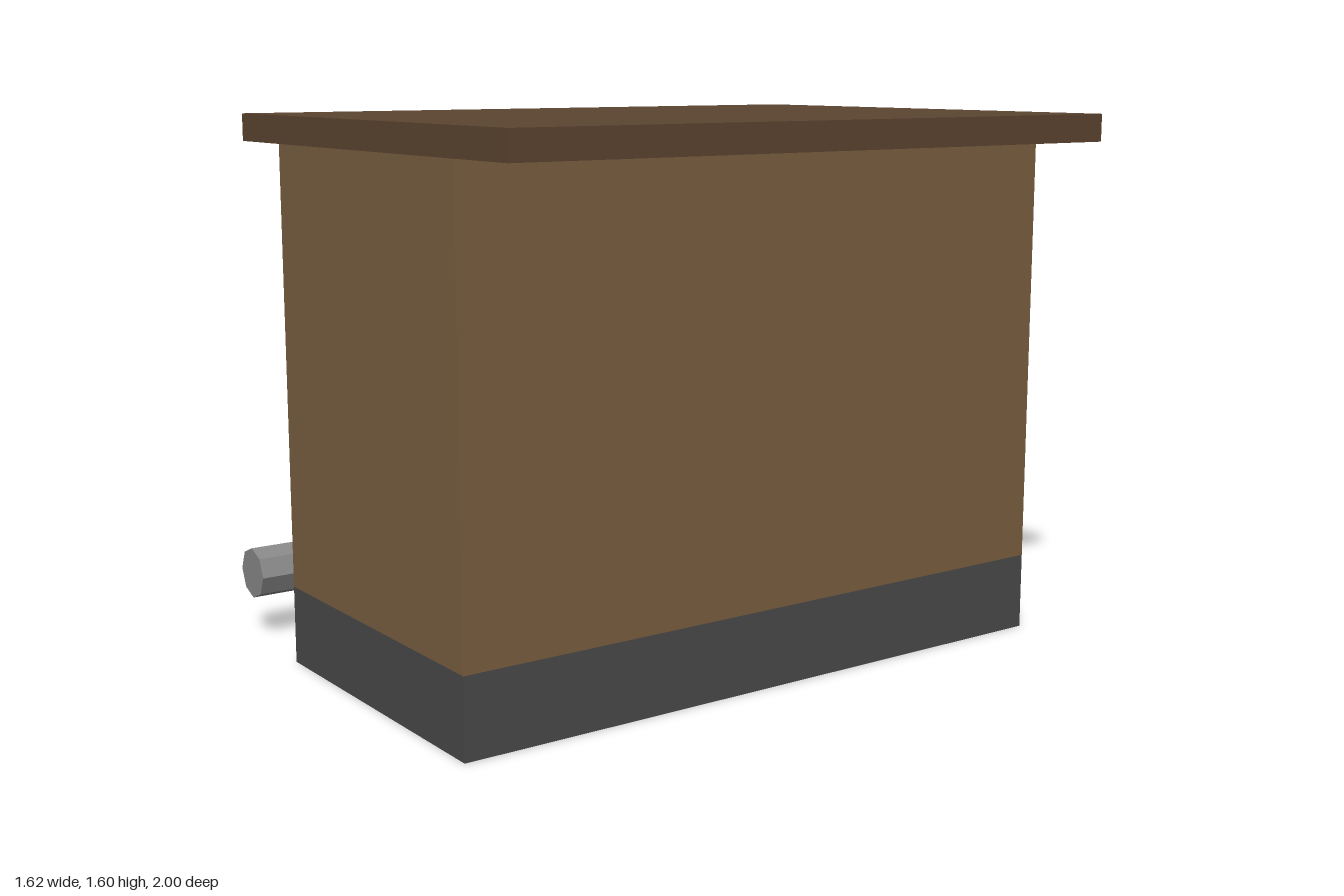
import * as THREE from 'three';

const mat = (color) => new THREE.MeshStandardMaterial({ color, flatShading: true });

export function createModel() {
  const group = new THREE.Group();
  const wood = mat(0x7a5f40), darkWood = mat(0x5c4430), stone = mat(0x4a4a4a), metal = mat(0x888888);

  const add = (name, geometry, material, x, y, z = 0) => {
    const mesh = new THREE.Mesh(geometry, material);
    mesh.name = name;
    mesh.position.set(x, y, z);
    group.add(mesh);
    return mesh;
  };
  // box given by its x and y limits, centred on z
  const addBox = (name, material, x0, x1, y0, y1, depth) =>
    add(name, new THREE.BoxGeometry(x1 - x0, y1 - y0, depth), material, (x0 + x1) / 2, (y0 + y1) / 2);

  // main block, dark plinth with a wooden underside, overhanging roof slab
  addBox('body', wood, -0.435, 0.56, 0.23, 1.52, 2);
  const plinthMaterials = [stone, stone, stone, wood, stone, stone];
  addBox('plinth', plinthMaterials, -0.435, 0.56, 0, 0.23, 2);
  addBox('roof', darkWood, -0.685, 0.812, 1.52, 1.6, 2);

  // eight-sided rail along the side, held by a short bracket
  addBox('railBracket', metal, -0.735, -0.435, 0.145, 0.26, 0.2);
  const rail = add('rail', new THREE.CylinderGeometry(0.078, 0.078, 2, 8), metal, -0.735, 0.203);
  rail.rotation.x = Math.PI / 2;

  return group;
}
